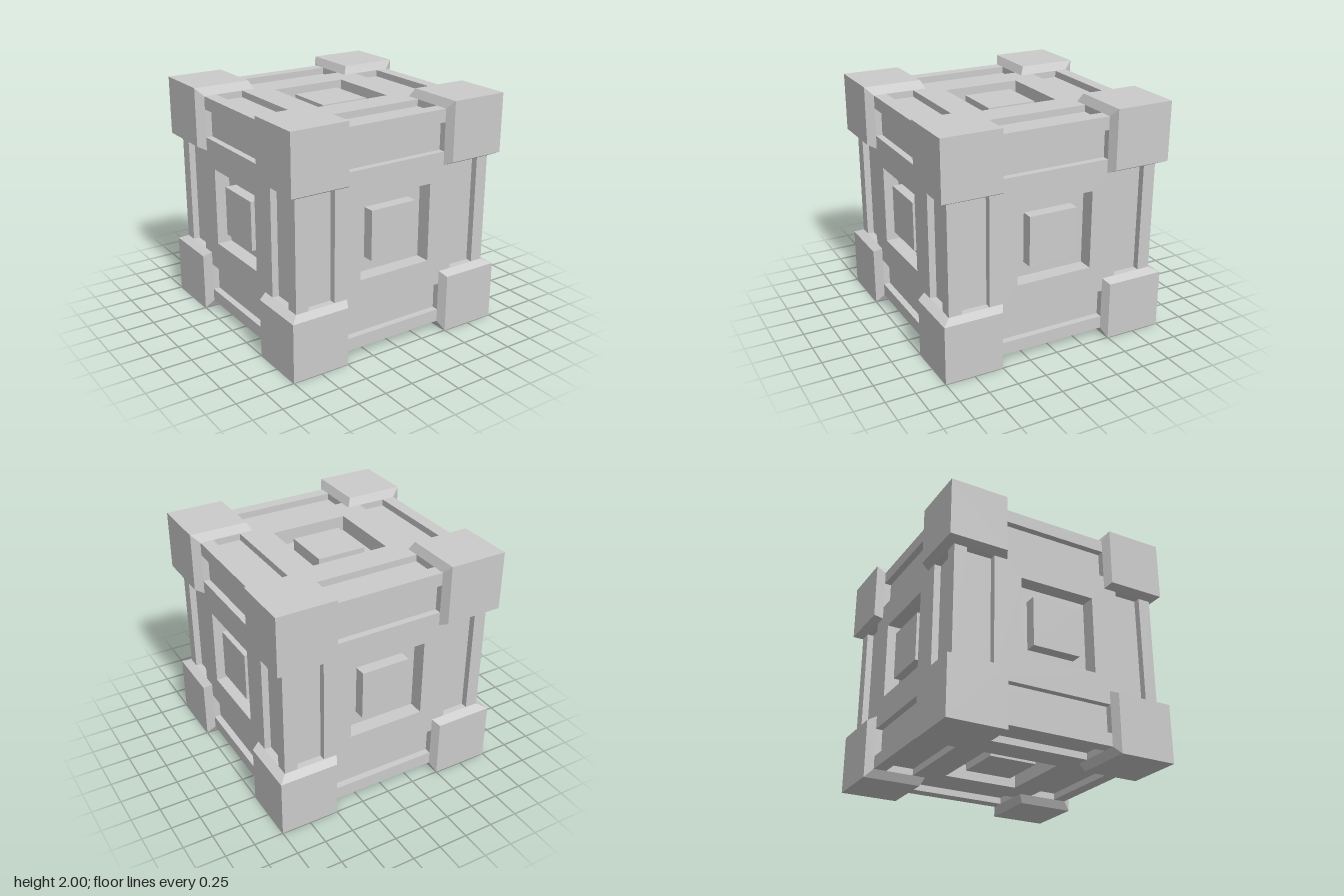
import * as THREE from 'three';
import { ConvexGeometry } from 'three/addons/geometries/ConvexGeometry.js';

const OUTER = 1, CORNER = 0.5, TAPER = 0.93; // corner block size and bevel scale
const FACE = 0.93, GROOVE = 0.873, FLOOR = 0.8, BLOCK = 0.9; // distances from centre
const PANEL = 0.58, RECESS = 0.335, PAD = 0.212, BAR = 0.82; // half widths

const material = new THREE.MeshStandardMaterial({ color: 0xcccccc, flatShading: true });

function add(parent, name, geometry) {
  const mesh = new THREE.Mesh(geometry, material);
  mesh.name = name;
  parent.add(mesh);
  return mesh;
}

function square(path, h) {
  path.moveTo(-h, -h);
  path.lineTo(h, -h);
  path.lineTo(h, h);
  path.lineTo(-h, h);
  path.closePath();
  return path;
}

// Square plate with the central opening, spanning z0 to z1
function plate(half, z0, z1) {
  const shape = square(new THREE.Shape(), half);
  shape.holes.push(square(new THREE.Path(), RECESS));
  return new THREE.ExtrudeGeometry(shape, { depth: z1 - z0, bevelEnabled: false }).translate(0, 0, z0);
}

// Corner block whose inner sides bevel down to a smaller cube
function cornerGeometry(sx, sy, sz) {
  const points = [];
  for (const x of [CORNER, OUTER]) for (const y of [CORNER, OUTER]) for (const z of [CORNER, OUTER]) {
    const p = new THREE.Vector3(x * sx, y * sy, z * sz);
    points.push(p.clone().multiplyScalar(TAPER));
    if (Math.max(x, y, z) === OUTER) points.push(p);
  }
  return new ConvexGeometry(points);
}

export function createModel() {
  const crate = new THREE.Group();
  crate.name = 'crate';
  crate.position.y = 1;

  add(crate, 'core', new THREE.BoxGeometry(FLOOR * 2, FLOOR * 2, FLOOR * 2));

  // Six identical sides: groove floor, raised panel and central pad
  const groove = plate(0.85, FLOOR, GROOVE);
  const panel = plate(PANEL, GROOVE, FACE);
  const pad = new THREE.BoxGeometry(PAD * 2, PAD * 2, BLOCK - FLOOR + 0.1)
    .translate(0, 0, (BLOCK + FLOOR - 0.1) / 2);
  const quarter = Math.PI / 2;
  const turns = [[0, 0], [0, quarter], [0, 2 * quarter], [0, -quarter], [quarter, 0], [-quarter, 0]];
  for (const [rx, ry] of turns) {
    const side = new THREE.Group();
    side.name = 'side';
    side.rotation.set(rx, ry, 0);
    add(side, 'grooveFloor', groove);
    add(side, 'framePanel', panel);
    add(side, 'centrePad', pad);
    crate.add(side);
  }

  // Twelve bars along the edges
  const w = FACE - BAR, c = (FACE + BAR) / 2;
  for (const axis of ['x', 'y', 'z']) for (const a of [-c, c]) for (const b of [-c, c]) {
    const size = { x: w, y: w, z: w, [axis]: 1 };
    const [u, v] = ['x', 'y', 'z'].filter((k) => k !== axis);
    const bar = add(crate, 'edgeBar', new THREE.BoxGeometry(size.x, size.y, size.z));
    bar.position[u] = a;
    bar.position[v] = b;
  }

  // Eight corner blocks
  for (const x of [-1, 1]) for (const y of [-1, 1]) for (const z of [-1, 1]) {
    add(crate, 'cornerBlock', cornerGeometry(x, y, z));
  }

  const model = new THREE.Group();
  model.name = 'model';
  model.add(crate);
  return model;
}
